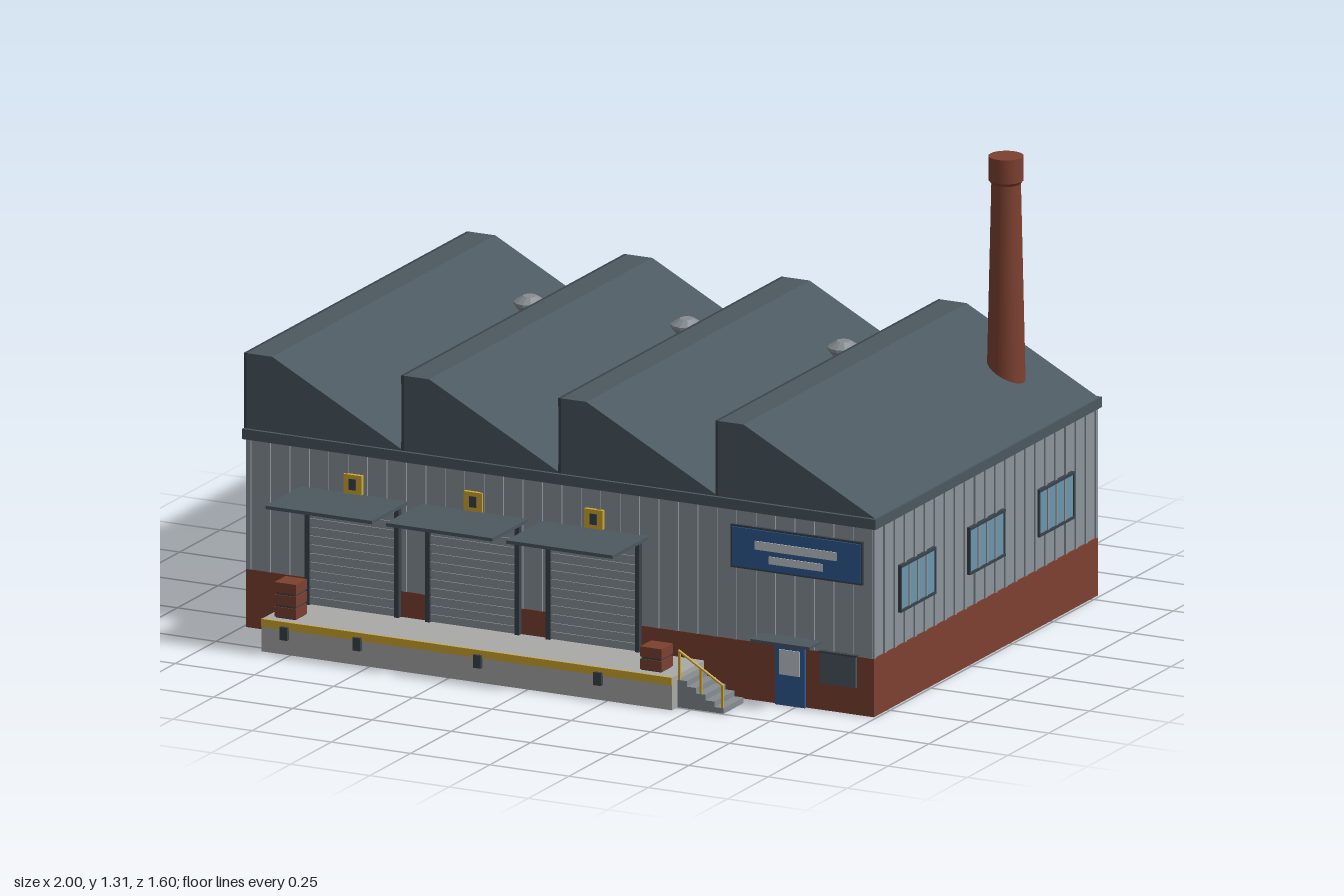
import * as THREE from 'three';

const mat = (name, color) => {
  const m = new THREE.MeshStandardMaterial({ color });
  m.name = name;
  return m;
};

export function createModel() {
  const M = {
    siding: mat('siding grey', 0x8b939b),
    roof: mat('roof slate', 0x4c5860),
    brick: mat('brick red', 0x7c4030),
    concrete: mat('concrete', 0xa9aaa8),
    yellow: mat('safety yellow', 0xd0a92e),
    blue: mat('sign blue', 0x2f5b95),
    glass: mat('window glass', 0x6a96ae),
    trim: mat('dark trim', 0x3a434b),
    metal: mat('galvanised metal', 0x868c91),
    light: mat('pale panel', 0xc4cbd0),
  };
  const model = new THREE.Group();
  model.name = 'factory';

  const add = (parent, name, geo, material, x = 0, y = 0, z = 0) => {
    const m = new THREE.Mesh(geo, material);
    m.name = name;
    m.position.set(x, y, z);
    parent.add(m);
    return m;
  };
  // Box given by its minimum and maximum corners
  const box = (parent, name, material, x0, x1, y0, y1, z0, z1) =>
    add(parent, name, new THREE.BoxGeometry(x1 - x0, y1 - y0, z1 - z0), material,
      (x0 + x1) / 2, (y0 + y1) / 2, (z0 + z1) / 2);
  const group = (parent, name, x = 0, y = 0, z = 0) => {
    const g = new THREE.Group();
    g.name = name;
    g.position.set(x, y, z);
    parent.add(g);
    return g;
  };

  const HX = 0.987, ZF = 0.58, ZB = -0.79, ZC = (ZF + ZB) / 2, HZ = (ZF - ZB) / 2;

  // Body
  box(model, 'brickBase', M.brick, -HX - 0.004, HX + 0.004, 0, 0.17, ZB - 0.003, ZF + 0.003);
  box(model, 'sidingWalls', M.siding, -HX, HX, 0.17, 0.55, ZB, ZF);
  box(model, 'roofFascia', M.roof, -1, 1, 0.55, 0.58, ZB - 0.01, ZF + 0.01);

  // Wall groups: local x runs along the wall, local z points outward
  const window = (wall, x) => {
    const w = group(wall, 'window', x, 0.335, 0);
    box(w, 'windowGlass', M.glass, -0.104, 0.104, -0.065, 0.065, 0, 0.007);
    for (const s of [-1, 1]) {
      box(w, 'windowRail', M.trim, -0.108, 0.108, s * 0.065 - 0.004, s * 0.065 + 0.004, 0, 0.011);
      box(w, 'windowJamb', M.trim, s * 0.106 - 0.003, s * 0.106 + 0.003, -0.065, 0.065, 0, 0.01);
    }
    for (const i of [-1, 0, 1])
      box(w, 'windowMullion', M.siding, i * 0.052 - 0.005, i * 0.052 + 0.005, -0.061, 0.061, 0, 0.01);
  };
  const wall = (name, half, angle, x, z, windows) => {
    const g = group(model, name, x, 0, z);
    g.rotation.y = angle;
    const n = Math.round(half * 2 / 0.062);
    for (let i = 0; i <= n; i++) {
      const rx = -half + 0.006 + i * (2 * half - 0.012) / n;
      box(g, 'sidingRib', M.siding, rx - 0.006, rx + 0.006, 0.17, 0.55, 0, 0.005);
    }
    windows.forEach((wx) => window(g, wx));
  };
  const sideWindows = [-0.425, 0, 0.425];
  wall('frontWall', HX, 0, 0, ZF, []);
  wall('backWall', HX, Math.PI, 0, ZB, [-0.81, -0.485, -0.16, 0.16, 0.485, 0.81]);
  wall('leftWall', HZ, Math.PI / 2, HX, ZC, sideWindows);
  wall('rightWall', HZ, -Math.PI / 2, -HX, ZC, sideWindows);

  // Saw-tooth roofs with a glazed upright side
  const pitch = 0.496;
  for (let i = 0; i < 4; i++) {
    const t = group(model, 'sawtoothRoof', -0.99 + i * pitch, 0.58, 0);
    const s = new THREE.Shape();
    s.moveTo(0, 0);
    s.lineTo(pitch, 0);
    s.lineTo(0.08, 0.22);
    s.lineTo(0, 0.22);
    s.closePath();
    add(t, 'roofTooth', new THREE.ExtrudeGeometry(s, { depth: ZF - ZB, bevelEnabled: false }), M.roof, 0, 0, ZB);
    box(t, 'clerestoryGlass', M.glass, -0.004, 0, 0.025, 0.195, ZB + 0.03, ZF - 0.03);
    box(t, 'clerestorySill', M.trim, -0.009, 0, 0, 0.025, ZB, ZF);
    box(t, 'clerestoryHead', M.trim, -0.009, 0, 0.195, 0.22, ZB, ZF);
    for (let k = 0; k <= 6; k++) {
      const z = ZB + 0.03 + k * (ZF - ZB - 0.06) / 6, w = k % 6 ? 0.006 : 0.03;
      box(t, 'clerestoryMullion', M.trim, -0.008, 0, 0.025, 0.195, Math.max(ZB, z - w), Math.min(ZF, z + w));
    }
  }

  // Roof vents
  const ventProfile = [[0.026, -0.04], [0.026, 0.05], [0.046, 0.075], [0.046, 0.083], [0.02, 0.1], [0, 0.1]]
    .map(([r, y]) => new THREE.Vector2(r, y));
  const ventGeo = new THREE.LatheGeometry(ventProfile, 12).toNonIndexed();
  ventGeo.computeVertexNormals();
  for (const x of [-0.61, -0.115, 0.38]) add(model, 'roofVent', ventGeo, M.metal, x, 0.66, -0.42);

  // Chimney
  const chimney = group(model, 'chimney', 0.8, 0, -0.6);
  add(chimney, 'chimneyShaft', new THREE.CylinderGeometry(0.041, 0.057, 0.7, 20), M.brick, 0, 0.93, 0);
  add(chimney, 'chimneyCollar', new THREE.CylinderGeometry(0.05, 0.05, 0.07, 20), M.brick, 0, 1.275, 0);
  add(chimney, 'chimneyCollarFlare', new THREE.CylinderGeometry(0.05, 0.042, 0.012, 20), M.brick, 0, 1.236, 0);

  // Loading dock
  const dock = group(model, 'loadingDock');
  box(dock, 'dockPlatform', M.concrete, -0.84, 0.455, 0, 0.095, ZF, 0.78);
  box(dock, 'dockEdgeStripe', M.yellow, -0.84, 0.455, 0.073, 0.096, 0.778, 0.784);
  for (const x of [-0.765, -0.535, -0.155, 0.225])
    box(dock, 'dockBumper', M.trim, x - 0.012, x + 0.012, 0.045, 0.083, 0.78, 0.793);

  // Dock doors with canopy and yellow marker
  for (const x of [-0.65, -0.27, 0.11]) {
    const d = group(model, 'dockDoor', x, 0, ZF);
    box(d, 'shutter', M.siding, -0.135, 0.135, 0.095, 0.41, 0, 0.008);
    for (let k = 0; k < 12; k++) {
      const y = 0.1 + k * 0.0255;
      box(d, 'shutterSlat', M.siding, -0.135, 0.135, y, y + 0.018, 0, 0.012);
    }
    for (const s of [-1, 1])
      box(d, 'doorJamb', M.trim, s * 0.141 - 0.007, s * 0.141 + 0.007, 0.095, 0.42, 0, 0.018);
    box(d, 'doorHead', M.trim, -0.148, 0.148, 0.408, 0.42, 0, 0.018);
    box(d, 'doorCanopy', M.roof, -0.168, 0.168, 0.424, 0.434, 0, 0.22);
    box(d, 'markerPlate', M.yellow, -0.029, 0.029, 0.436, 0.492, 0, 0.012);
    box(d, 'markerInset', M.trim, -0.011, 0.011, 0.448, 0.48, 0.01, 0.014);
  }

  // Crates with dark gaps between boards
  const crate = (x, z, h) => {
    const c = group(model, 'crate', x, 0.095, z);
    box(c, 'crateCore', M.trim, -0.031, 0.031, 0, h - 0.004, -0.031, 0.031);
    const n = Math.round(h / 0.035);
    for (let k = 0; k < n; k++)
      box(c, 'crateBoard', M.brick, -0.034, 0.034, k * h / n + 0.003, (k + 1) * h / n - 0.003, -0.034, 0.034);
  };
  crate(-0.78, 0.718, 0.107);
  crate(0.373, 0.716, 0.072);

  // Dock steps and handrail
  const stairs = group(model, 'dockStairs');
  for (let k = 0; k < 5; k++)
    box(stairs, 'step', M.metal, 0.455 + k * 0.029, 0.455 + (k + 1) * 0.029, 0, 0.08 - k * 0.016, 0.622, 0.745);
  const a = new THREE.Vector3(0.455, 0.165, 0.74), b = new THREE.Vector3(0.597, 0.08, 0.74);
  add(stairs, 'handrail', new THREE.TubeGeometry(new THREE.LineCurve3(a, b), 1, 0.004, 6), M.yellow);
  for (const t of [0.02, 0.5, 0.98]) {
    const p = a.clone().lerp(b, t);
    box(stairs, 'railPost', M.yellow, p.x - 0.003, p.x + 0.003, Math.max(0, p.y - 0.085), p.y, 0.737, 0.743);
  }

  // Staff entrance
  const entry = group(model, 'entrance', 0.73, 0, ZF);
  box(entry, 'entranceDoor', M.blue, -0.047, 0.047, 0, 0.175, 0, 0.012);
  box(entry, 'entranceGlass', M.light, -0.032, 0.032, 0.09, 0.163, 0.01, 0.015);
  box(entry, 'entranceCanopy', M.roof, -0.093, 0.093, 0.192, 0.2, 0, 0.073);

  // Utility cabinet
  box(model, 'utilityCabinet', M.roof, 0.825, 0.938, 0.08, 0.17, ZF, ZF + 0.012);
  box(model, 'utilityCabinetLid', M.trim, 0.822, 0.941, 0.17, 0.175, ZF, ZF + 0.014);

  // Sign board with plain bars
  const sign = group(model, 'signBoard', 0.75, 0, ZF);
  box(sign, 'signFrame', M.trim, -0.208, 0.208, 0.382, 0.508, 0, 0.01);
  box(sign, 'signPanel', M.blue, -0.202, 0.202, 0.388, 0.502, 0.008, 0.014);
  box(sign, 'signBarUpper', M.light, -0.128, 0.128, 0.445, 0.47, 0.012, 0.017);
  box(sign, 'signBarLower', M.light, -0.085, 0.085, 0.408, 0.43, 0.012, 0.017);

  return model;
}
